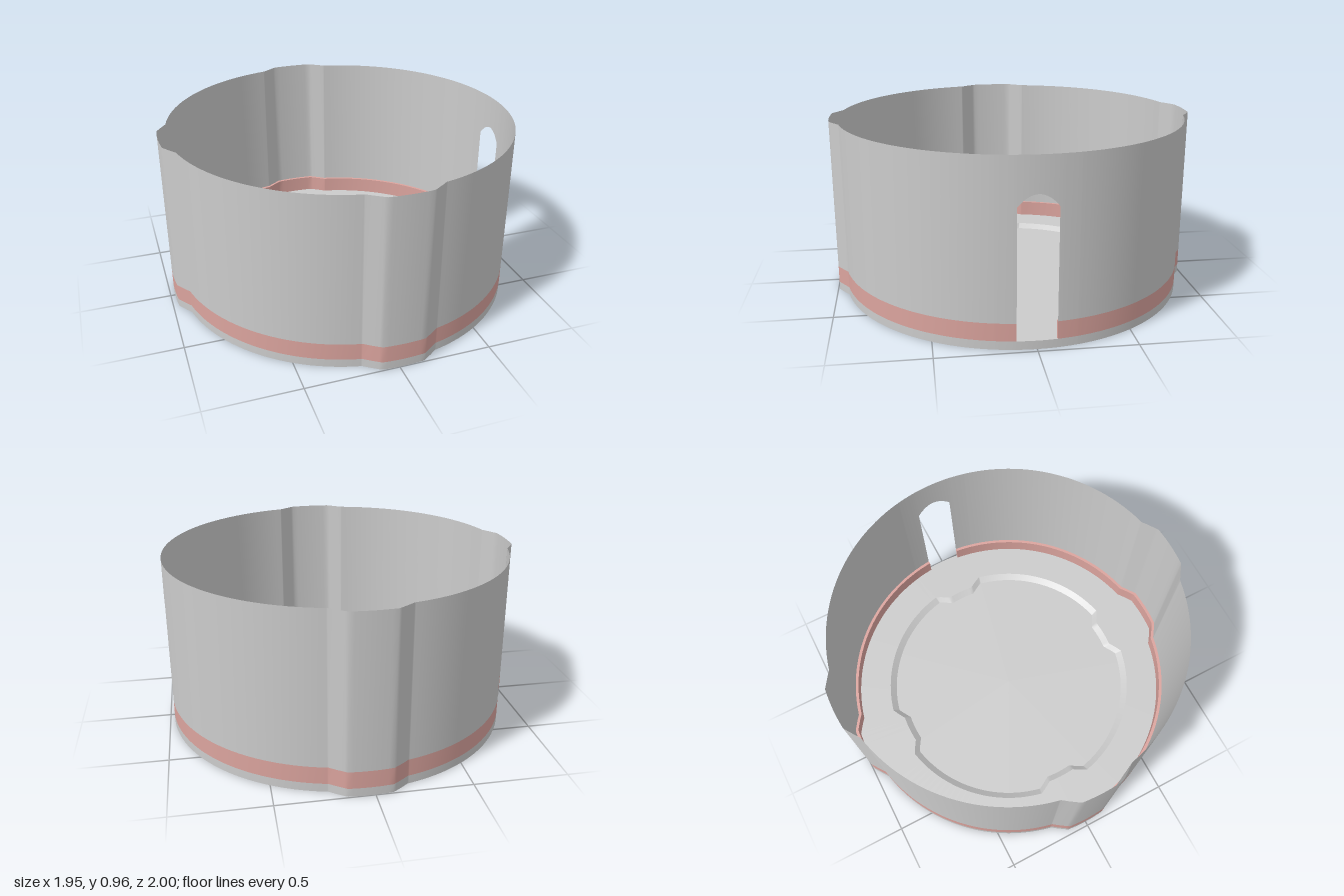
import * as THREE from 'three';

const CX = 0.023;        // axis of the round body
const R = 0.954;         // body radius
const LOBE_R = 0.998;    // radius at the lobes
const FLOOR = 0.045, BAND_TOP = 0.138, TOP = 0.965;
const SLOT_HALF = 0.1;
const SLOT_ANGLE = THREE.MathUtils.radToDeg(Math.asin(SLOT_HALF / R));
const FLAT = 6.6, FOOT = 12.1; // half angles of a lobe's flat and foot

// Radius with a trapezoid bump every quarter turn (angles in degrees, 0 = +x)
function bumped(deg, base, bump, skipSlotSide) {
  const quarter = Math.round(deg / 90) % 4;
  if (skipSlotSide && quarter === 0) return base;
  const off = Math.abs(deg - Math.round(deg / 90) * 90);
  const t = THREE.MathUtils.clamp((FOOT - off) / (FOOT - FLAT), 0, 1);
  return base + (bump - base) * t;
}
const outer = (deg) => bumped(deg, R, LOBE_R, true);

// Angles between two limits, with exact stops at the lobe corners
function angleList(from, to) {
  const stops = new Set([from, to]);
  for (let a = 0; a <= 360; a += 2.5) stops.add(a);
  for (let q = 0; q <= 360; q += 90) {
    for (const o of [-FOOT, -FLAT, FLAT, FOOT]) stops.add(q + o);
  }
  return [...stops].filter((a) => a >= from && a <= to).sort((a, b) => a - b);
}

// Sweep a [radius, height] profile around the axis; each profile edge stays crisp
function sweep(profileAt, angles, closed) {
  const pos = [], index = [];
  const rings = angles.map(profileAt);
  const n = angles.length, last = closed ? n : n - 1;
  for (let s = 0; s < rings[0].length - 1; s++) {
    const start = pos.length / 3;
    angles.forEach((deg, i) => {
      const a = THREE.MathUtils.degToRad(deg);
      for (const [r, y] of [rings[i][s], rings[i][s + 1]]) {
        pos.push(CX + r * Math.cos(a), y, r * Math.sin(a));
      }
    });
    for (let i = 0; i < last; i++) {
      const a = start + i * 2, b = start + ((i + 1) % n) * 2;
      index.push(a, a + 1, b, a + 1, b + 1, b);
    }
  }
  const geo = new THREE.BufferGeometry();
  geo.setAttribute('position', new THREE.Float32BufferAttribute(pos, 3));
  geo.setIndex(index);
  geo.computeVertexNormals();
  return geo;
}

export function createModel() {
  const group = new THREE.Group();
  const grey = new THREE.MeshStandardMaterial({ color: 0xcccccc, side: THREE.DoubleSide });
  const red = new THREE.MeshStandardMaterial({ color: 0xdba49e, side: THREE.DoubleSide });
  const add = (name, geo, mat) => {
    const mesh = new THREE.Mesh(geo, mat);
    mesh.name = name;
    group.add(mesh);
    return mesh;
  };

  // Base plate with a shallow notched recess in its floor
  const fullTurn = angleList(0, 360).slice(0, -1);
  add('base', sweep((d) => {
    const r = outer(d);
    return [[0, 0], [r, 0], [r, FLOOR],
      [bumped(d, 0.75, 0.695), FLOOR], [bumped(d, 0.715, 0.66), 0.02], [0, 0.02]];
  }, fullTurn, true), grey);

  // Coloured band, open at the slot
  const openTurn = angleList(SLOT_ANGLE, 360 - SLOT_ANGLE);
  const thick = 0.017;
  add('band', sweep((d) => {
    const r = outer(d);
    return [[r, FLOOR], [r, BAND_TOP], [r - thick, BAND_TOP], [r - thick, FLOOR]];
  }, openTurn, false), red);

  // End faces of the band at the slot
  for (const side of [-1, 1]) {
    const a = side * THREE.MathUtils.degToRad(SLOT_ANGLE), r = R - thick / 2;
    const cap = add('bandEnd', new THREE.PlaneGeometry(thick, BAND_TOP - FLOOR), red);
    cap.position.set(CX + r * Math.cos(a), (FLOOR + BAND_TOP) / 2, r * Math.sin(a));
    cap.rotation.y = -a;
  }

  // Thin wall around the slot
  add('wall', sweep((d) => [[outer(d), BAND_TOP], [outer(d), TOP]], openTurn, false), grey);

  // Wall above the arched slot
  const archAngles = [];
  for (let i = -8; i <= 8; i++) archAngles.push(SLOT_ANGLE * i / 8);
  add('slotArch', sweep((d) => {
    const t = d / SLOT_ANGLE;
    return [[R, 0.78 - 0.063 * t * t], [R, TOP]];
  }, archAngles, false), grey);

  return group;
}
